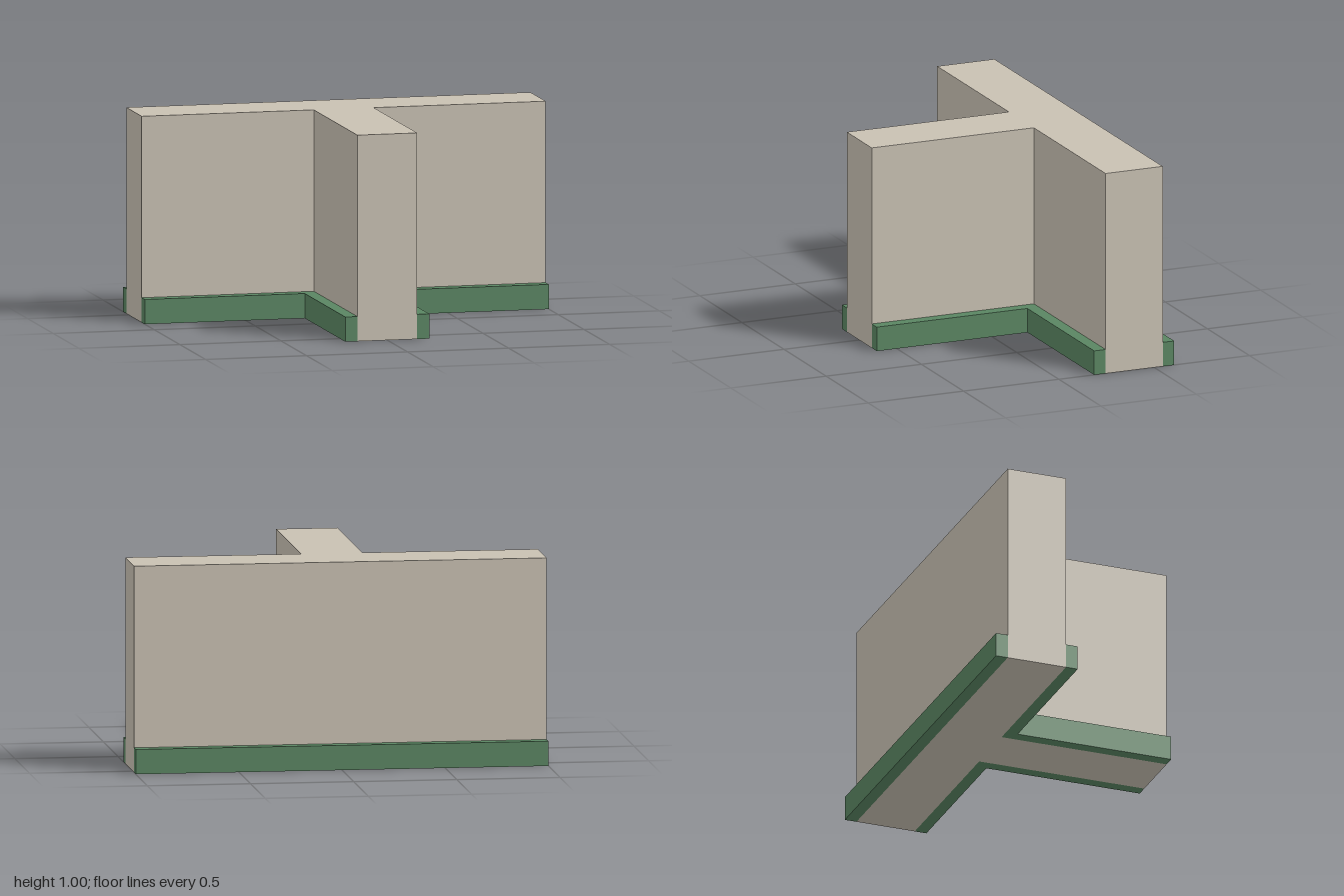
import * as THREE from 'three';

// Plan layout (x, z)
const HALF = 1, HEIGHT = 1, TRIM_H = 0.12, TRIM_T = 0.06;
const STEM = 0.148, BACK = -0.545, INNER = -0.245, FRONT = 0.605;

// Extrudes a plan outline of [x, z] points upward from the floor
function extrudePlan(name, points, height, material) {
  const shape = new THREE.Shape(points.map(([x, z]) => new THREE.Vector2(x, -z)));
  const geometry = new THREE.ExtrudeGeometry(shape, { depth: height, bevelEnabled: false });
  geometry.rotateX(-Math.PI / 2);
  const mesh = new THREE.Mesh(geometry, material);
  mesh.name = name;
  return mesh;
}

export function createModel() {
  const plaster = new THREE.MeshStandardMaterial({ color: 0xc8c0b2 });
  plaster.name = 'warm plaster';
  const green = new THREE.MeshStandardMaterial({ color: 0x5a8562 });
  green.name = 'green trim';

  const model = new THREE.Group();
  model.name = 'wallJunction';

  // T-shaped wall
  model.add(extrudePlan('wall', [
    [-HALF, BACK], [HALF, BACK], [HALF, INNER], [STEM, INNER],
    [STEM, FRONT], [-STEM, FRONT], [-STEM, INNER], [-HALF, INNER],
  ], HEIGHT, plaster));

  // Straight skirting along the back
  model.add(extrudePlan('backSkirting', [
    [-HALF, BACK - TRIM_T], [HALF, BACK - TRIM_T], [HALF, BACK], [-HALF, BACK],
  ], TRIM_H, green));

  // L-shaped skirting in each inner corner
  for (const [name, s] of [['leftSkirting', 1], ['rightSkirting', -1]]) {
    model.add(extrudePlan(name, [
      [s * HALF, INNER], [s * HALF, INNER + TRIM_T],
      [s * (STEM + TRIM_T), INNER + TRIM_T], [s * (STEM + TRIM_T), FRONT],
      [s * STEM, FRONT], [s * STEM, INNER],
    ], TRIM_H, green));
  }

  return model;
}
